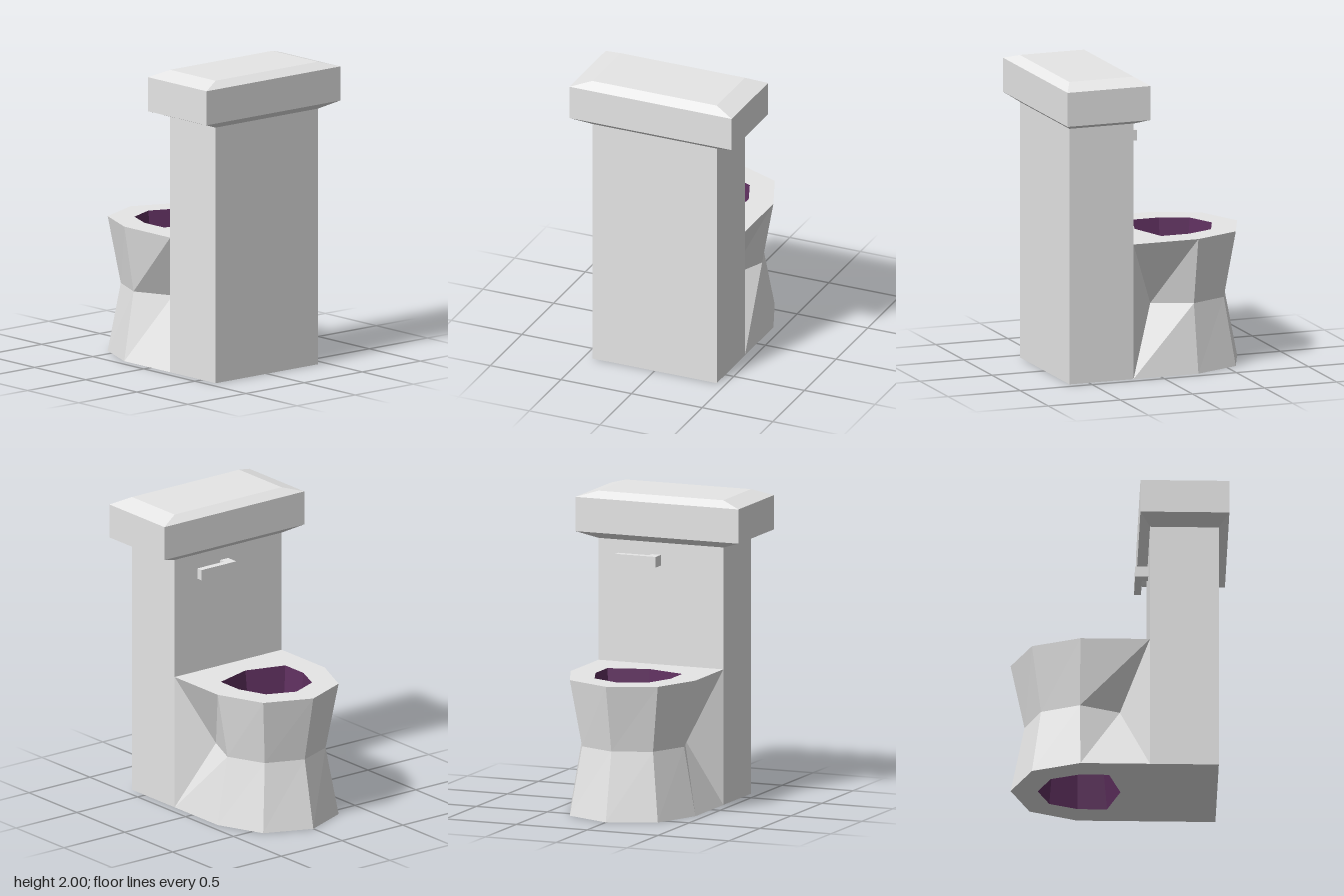
import * as THREE from 'three';

const white = new THREE.MeshStandardMaterial({ color: 0xe6e6e6 });
white.name = 'porcelain white';
const purple = new THREE.MeshStandardMaterial({ color: 0x5e2f5e });
purple.name = 'bowl purple';

// Faceted surface through rings of [x, z] points stacked at the given heights.
function loft(rings, heights, { closed = true, inward = false, caps = false } = {}) {
  const pos = [];
  const put = (k, i) => pos.push(rings[k][i][0], heights[k], rings[k][i][1]);
  const tri = (a, b, c) => (inward ? [a, c, b] : [a, b, c]).forEach(p => put(...p));
  const n = rings[0].length;
  for (let k = 0; k < rings.length - 1; k++) {
    for (let i = 0; i < (closed ? n : n - 1); i++) {
      const j = (i + 1) % n;
      tri([k, i], [k, j], [k + 1, j]);
      tri([k, i], [k + 1, j], [k + 1, i]);
    }
  }
  if (caps) {
    const t = rings.length - 1;
    for (let i = 1; i < n - 1; i++) {
      tri([0, 0], [0, i + 1], [0, i]);
      tri([t, 0], [t, i], [t, i + 1]);
    }
  }
  const g = new THREE.BufferGeometry();
  g.setAttribute('position', new THREE.Float32BufferAttribute(pos, 3));
  g.computeVertexNormals();
  return g;
}

// Rectangle ring, counter-clockwise seen from above
const rect = (x, z0, z1) => [[x, z1], [x, z0], [-x, z0], [-x, z1]];

// Mirror a half outline across x = 0, skipping points on the axis
const mirror = half =>
  [...half, ...half.filter(p => p[0] !== 0).reverse().map(([x, z]) => [-x, z])];

export function createModel() {
  const model = new THREE.Group();
  model.name = 'toilet';
  const add = (name, geometry, material, parent = model) => {
    const mesh = new THREE.Mesh(geometry, material);
    mesh.name = name;
    parent.add(mesh);
    return mesh;
  };

  // Tall tank and its bevelled lid
  const narrow = rect(0.44, 0.19, 0.635), wide = rect(0.575, 0.125, 0.7);
  add('tank', loft([narrow, narrow], [0, 1.69], { caps: true }), white);
  add('tankLid', loft([narrow, wide, wide, narrow], [1.69, 1.735, 1.96, 2], { caps: true }), white);

  // Pinched bowl; the doubled first point folds its back corners onto the tank
  const outer = mirror([[0.44, 0.19], [0.44, 0.19], [0.44, -0.26], [0.31, -0.57], [0, -0.7]]);
  const waist = mirror([[0.44, 0.19], [0.25, 0], [0.36, -0.26], [0.25, -0.51], [0, -0.61]]);
  add('bowl', loft([outer, waist, outer], [0, 0.45, 0.89], { closed: false }), white);

  // Opening through the bowl
  const hole = mirror([[0, 0.01], [0.265, -0.07], [0.265, -0.26], [0.19, -0.445], [0, -0.525]]);
  const throat = mirror([[0, -0.045], [0.215, -0.11], [0.215, -0.26], [0.155, -0.41], [0, -0.475]]);
  add('bowlLining', loft([hole, throat, hole], [0, 0.45, 0.89], { inward: true }), purple);

  // Flat rim and base around the opening
  const plate = up => {
    const pts = ring => ring.map(([x, z]) => new THREE.Vector2(x, up ? -z : z));
    const shape = new THREE.Shape(pts(outer.slice(1, -1)));
    shape.holes.push(new THREE.Path(pts(hole)));
    return new THREE.ShapeGeometry(shape).rotateX(up ? -Math.PI / 2 : Math.PI / 2);
  };
  add('rim', plate(true), white).position.y = 0.89;
  add('base', plate(false), white);

  // Flush handle: bar on a short stem
  const handle = new THREE.Group();
  handle.name = 'flushHandle';
  model.add(handle);
  add('handleBar', new THREE.BoxGeometry(0.285, 0.07, 0.045), white, handle).position.set(0.1425, 1.575, 0.1275);
  add('handleStem', new THREE.BoxGeometry(0.065, 0.07, 0.04), white, handle).position.set(0.0325, 1.575, 0.17);

  return model;
}
